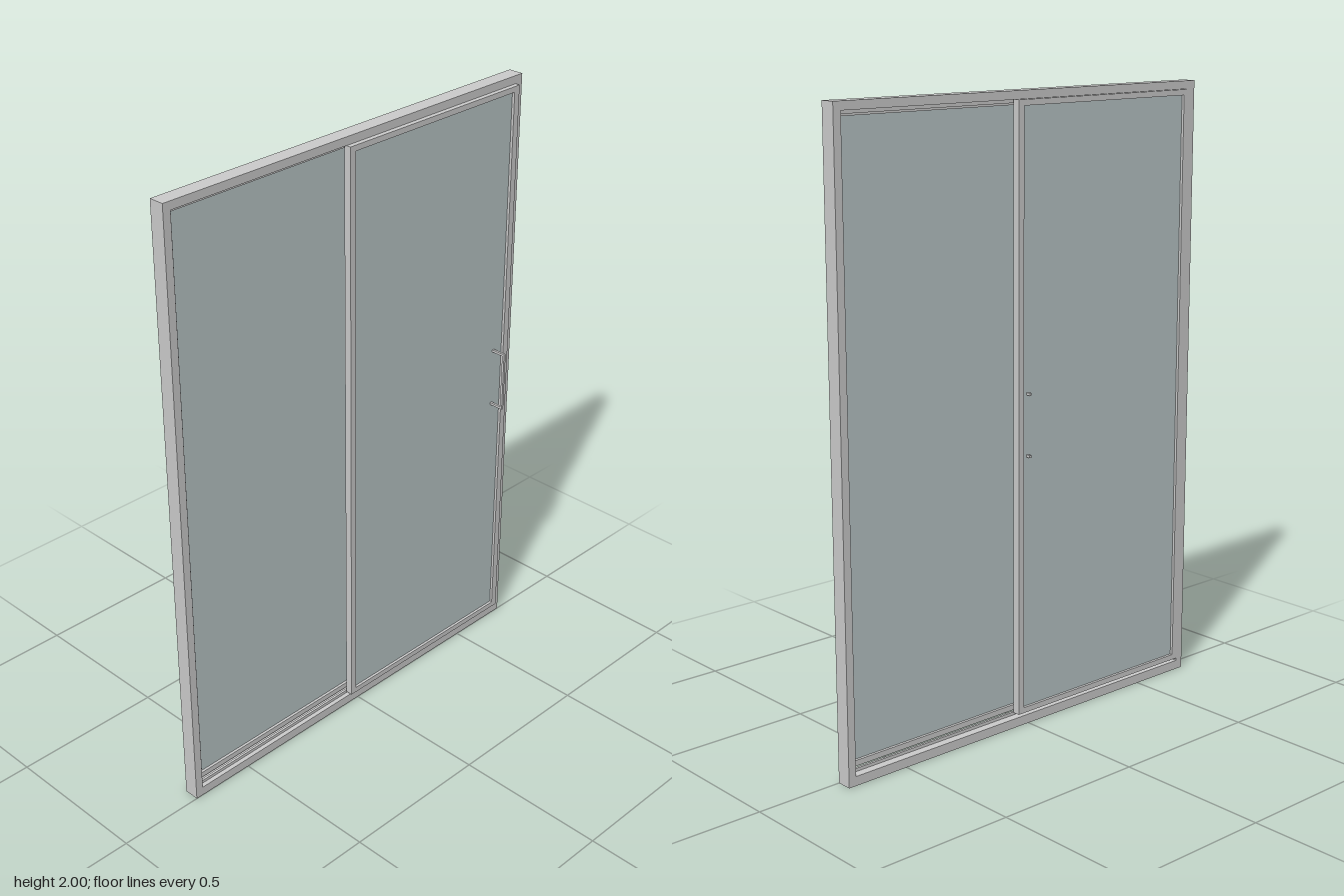
import * as THREE from 'three';

const metal = new THREE.MeshStandardMaterial({ color: 0xcccccc });
const glassTint = new THREE.MeshStandardMaterial({ color: 0xb9c5c6 });

// Box given by its lower and upper limits on each axis
function block(parent, name, [x0, x1], [y0, y1], [z0, z1], material = metal) {
  const mesh = new THREE.Mesh(new THREE.BoxGeometry(x1 - x0, y1 - y0, z1 - z0), material);
  mesh.position.set((x0 + x1) / 2, (y0 + y1) / 2, (z0 + z1) / 2);
  mesh.name = name;
  parent.add(mesh);
  return mesh;
}

// Rectangular ring of metal between outer and inner limits
function ring(name, [x0, x1], [y0, y1], [z0, z1], side, bottom, top) {
  const shape = new THREE.Shape();
  shape.moveTo(x0, y0).lineTo(x1, y0).lineTo(x1, y1).lineTo(x0, y1).closePath();
  const hole = new THREE.Path();
  hole.moveTo(x0 + side, y0 + bottom).lineTo(x0 + side, y1 - top);
  hole.lineTo(x1 - side, y1 - top).lineTo(x1 - side, y0 + bottom).closePath();
  shape.holes.push(hole);
  const geometry = new THREE.ExtrudeGeometry(shape, { depth: z1 - z0, bevelEnabled: false });
  geometry.translate(0, 0, z0);
  const mesh = new THREE.Mesh(geometry, metal);
  mesh.name = name;
  return mesh;
}

// Sliding panel: slim metal frame around one pane
function panel(name, xs, zs) {
  const group = new THREE.Group();
  group.name = name;
  const ys = [0.04, 1.973];
  group.add(ring('panelFrame', xs, ys, zs, 0.022, 0.018, 0.018));
  const mid = (zs[0] + zs[1]) / 2;
  block(group, 'glass', [xs[0] + 0.02, xs[1] - 0.02], [ys[0] + 0.016, ys[1] - 0.016],
    [mid - 0.003, mid + 0.003], glassTint);
  return group;
}

// Pull handle: upright grip with two arms
function handle(name, x, armZ, gripZ) {
  const group = new THREE.Group();
  group.name = name;
  const r = 0.004;
  block(group, 'grip', [x - r, x + r], [0.88, 1.085], [gripZ - r, gripZ + r]);
  for (const y of [0.884, 1.081]) {
    block(group, 'arm', [x - r, x + r], [y - r, y + r], armZ);
  }
  return group;
}

export function createModel() {
  const model = new THREE.Group();
  model.name = 'slidingDoor';

  // Fixed outer frame with a guide fin between the two tracks
  const frame = new THREE.Group();
  frame.name = 'outerFrame';
  frame.add(ring('surround', [-0.717, 0.717], [0, 2], [-0.05, 0], 0.026, 0.03, 0.026));
  frame.add(ring('trackDivider', [-0.692, 0.692], [0.028, 1.976], [-0.023, -0.015], 0.012, 0.012, 0.014));
  model.add(frame);

  // Two overlapping panels on separate tracks
  model.add(panel('frontPanel', [-0.044, 0.69], [-0.01, 0.014]));
  model.add(panel('backPanel', [-0.69, 0.044], [-0.052, -0.028]));

  // Handle on the front panel, and the one set through the back panel
  model.add(handle('frontHandle', 0.627, [0.002, 0.056], 0.052));
  model.add(handle('backHandle', 0, [-0.058, -0.02], -0.022));

  return model;
}
